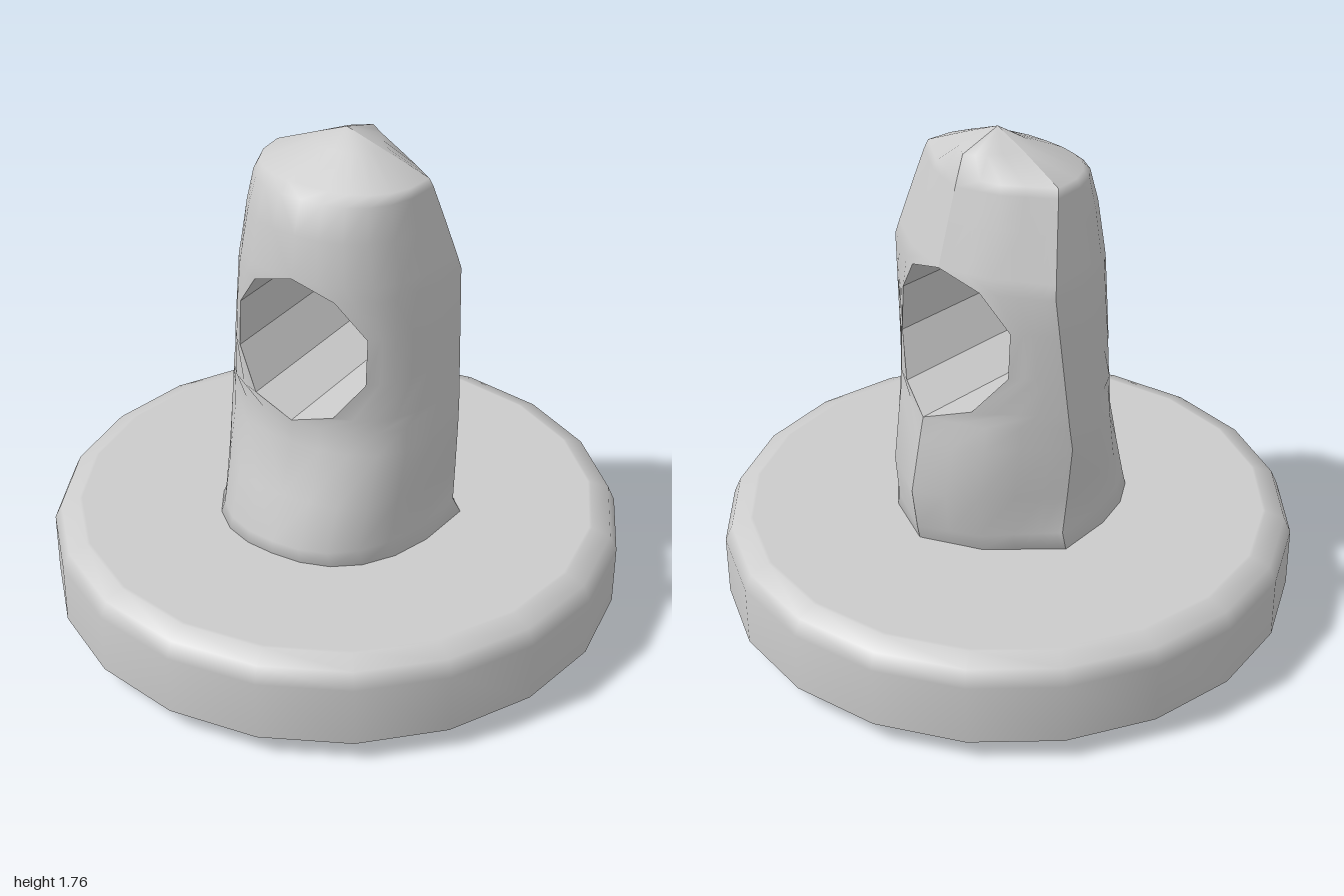
import * as THREE from 'three';
import { mergeVertices } from 'three/addons/utils/BufferGeometryUtils.js';

const CX = 0.025, HOLE_Y = 1.095, HOLE_R = 0.26, COLS = 6;

// Rock sections: height, half width, front z, side ridge z, back z
const SECTIONS = [
  [0.019, 0, 0, 0, 0],
  [0.02, 0.28, 0.27, 0, -0.26],
  [0.07, 0.32, 0.34, 0, -0.30],
  [0.37, 0.41, 0.44, -0.12, -0.41],
  [0.42, 0.385, 0.44, -0.11, -0.42],
  [0.57, 0.395, 0.38, -0.10, -0.44],
  [0.75, 0.405, 0.315, -0.09, -0.40],
  [0.835, 0.40, 0.315, -0.10, -0.38],
  [1.31, 0.367, 0.31, -0.14, -0.31],
  [1.5, 0.325, 0.285, -0.09, -0.25],
  [1.61, 0.30, 0.25, -0.06, -0.215],
  [1.64, 0.29, 0.21, -0.05, -0.205],
  [1.71, 0.125, 0.06, -0.03, -0.18],
  [1.76, 0, -0.02, -0.02, -0.02],
];

function sectionAt(y) {
  let i = 0;
  while (i < SECTIONS.length - 2 && SECTIONS[i + 1][0] < y) i++;
  const a = SECTIONS[i], b = SECTIONS[i + 1];
  const t = (y - a[0]) / (b[0] - a[0]);
  return a.map((v, k) => v + (b[k] - v) * t);
}

// Rounded front, two-plane faceted back; u runs from centre (0) to side ridge (1)
function depth([, , front, side, back], u, isFront) {
  if (isFront) return side + (front - side) * Math.pow(Math.max(0, 1 - Math.pow(u, 2.5)), 0.4);
  const h = u < 0.5 ? 1 - 0.64 * u : 0.68 * (1 - u) / 0.5;
  return side + (back - side) * h;
}

// Rows of the rock, with half the hole width at each
const holeRows = [0, 1, 2, 3, 4, 5].map((k) => ({
  y: HOLE_Y - HOLE_R * Math.cos(k * Math.PI / 5),
  hole: k % 5 ? HOLE_R * Math.sin(k * Math.PI / 5) : 0,
}));
const rows = SECTIONS.map((s) => ({ y: s[0], hole: 0 }))
  .filter((r) => r.y < 0.83 || r.y > 1.36)
  .concat(holeRows)
  .sort((a, b) => a.y - b.y);

function rockPoint(row, t, mirror, isFront) {
  const s = sectionAt(row.y), w = s[1];
  const x = row.hole + (w - row.hole) * Math.sin(t * Math.PI / 2);
  const z = depth(s, w > 0 ? Math.min(1, x / w) : 0, isFront);
  const y = row.y < 0.03 ? row.y - 0.07 * z : row.y; // tilted underside
  return new THREE.Vector3(CX + mirror * x, y, z);
}

function pushTriangle(out, a, b, c) {
  if (new THREE.Triangle(a, b, c).getArea() < 1e-7) return;
  for (const p of [a, b, c]) out.push(p.x, p.y, p.z);
}

function pushQuad(out, a, b, c, d, flip) {
  if (flip) [b, d] = [d, b];
  pushTriangle(out, a, b, c);
  pushTriangle(out, a, c, d);
}

function toGeometry(positions, smooth) {
  let g = new THREE.BufferGeometry();
  g.setAttribute('position', new THREE.Float32BufferAttribute(positions, 3));
  if (smooth) g = mergeVertices(g, 1e-4);
  g.computeVertexNormals();
  return g;
}

function rockSheet(mirrors, isFront) {
  const out = [];
  for (const m of mirrors) {
    for (let i = 0; i < rows.length - 1; i++) {
      for (let j = 0; j < COLS; j++) {
        const p = (di, dj) => rockPoint(rows[i + di], (j + dj) / COLS, m, isFront);
        pushQuad(out, p(0, 0), p(0, 1), p(1, 1), p(1, 0), (m > 0) !== isFront);
      }
    }
  }
  return toGeometry(out, true);
}

// Ten-sided wall of the hole, running from the front to the back face
function tunnelGeometry() {
  const out = [];
  for (const m of [1, -1]) {
    for (let k = 0; k < 5; k++) {
      const p = (row, isFront) => rockPoint(row, 0, m, isFront);
      const a = holeRows[k], b = holeRows[k + 1];
      pushQuad(out, p(a, true), p(b, true), p(b, false), p(a, false), m < 0);
    }
  }
  return toGeometry(out, false);
}

export function createModel() {
  const model = new THREE.Group();
  const material = new THREE.MeshStandardMaterial({ color: 0xcccccc });
  const add = (parent, name, geometry) => {
    const mesh = new THREE.Mesh(geometry, material);
    mesh.name = name;
    parent.add(mesh);
    return mesh;
  };

  // Round base with a bevelled top edge
  const base = new THREE.Group();
  base.name = 'base';
  const profile = [[1, 0.075], [1, 0.29], [0.975, 0.345], [0.91, 0.368], [0.9, 0.37], [0, 0.37]];
  add(base, 'baseDisc', new THREE.LatheGeometry(profile.map(([x, y]) => new THREE.Vector2(x, y)), 20));
  const underside = add(base, 'baseUnderside', new THREE.CircleGeometry(1, 20));
  underside.rotation.x = Math.PI / 2;
  underside.position.y = 0.075;

  // Standing stone with a hole through it
  const stone = new THREE.Group();
  stone.name = 'standingStone';
  add(stone, 'stoneFront', rockSheet([1, -1], true));
  add(stone, 'stoneBackLeft', rockSheet([1], false));
  add(stone, 'stoneBackRight', rockSheet([-1], false));
  add(stone, 'stoneHole', tunnelGeometry());

  model.add(base, stone);
  return model;
}
